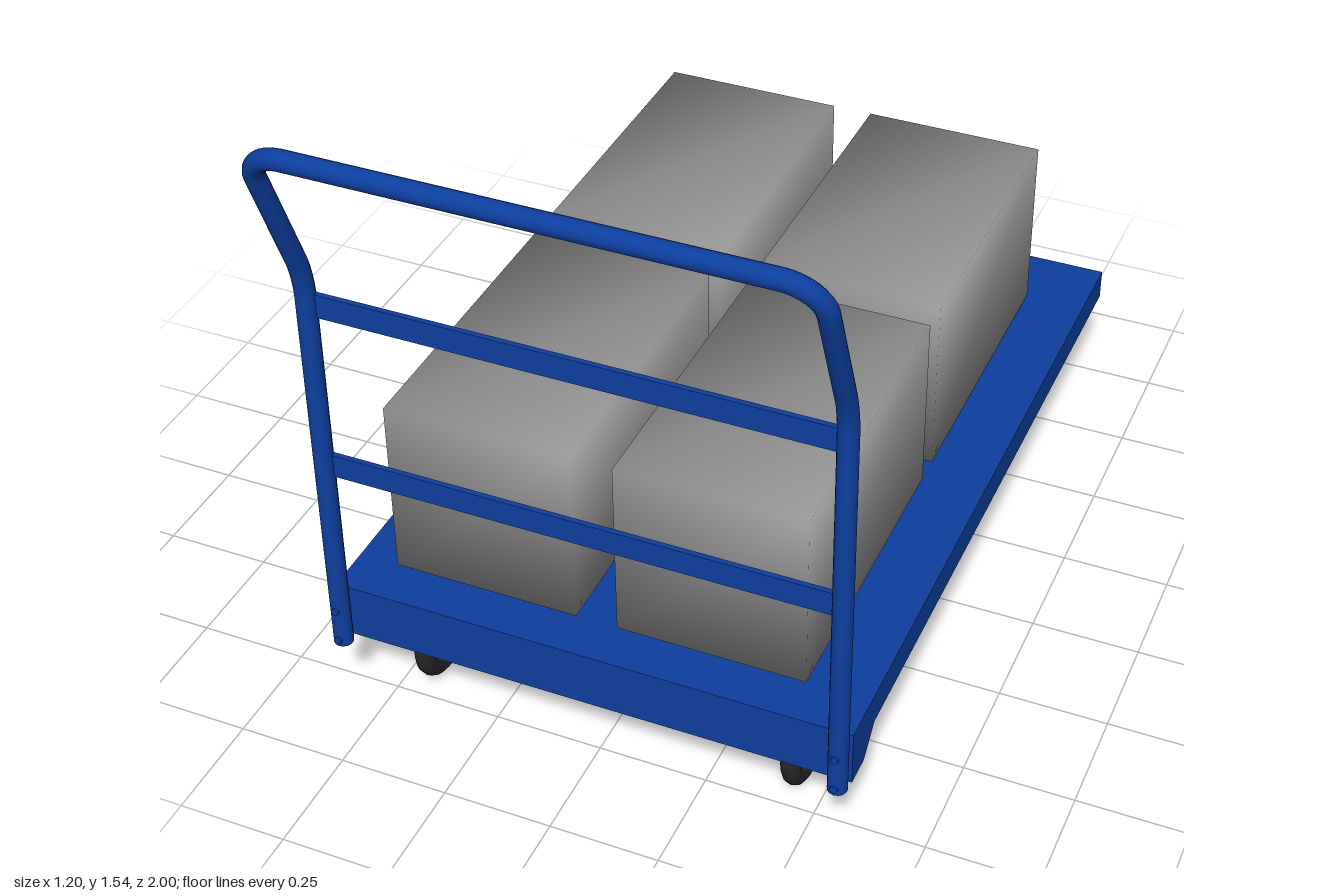
import * as THREE from 'three';
import { mergeVertices } from 'three/addons/utils/BufferGeometryUtils.js';

const V = (x, y, z) => new THREE.Vector3(x, y, z);

export function createModel() {
  const mat = (name, color, side = THREE.FrontSide) => {
    const m = new THREE.MeshStandardMaterial({ color, side });
    m.name = name;
    return m;
  };
  const blue = mat('blue paint', 0x0d3f9f);
  const cargoGrey = mat('cargo grey', 0x999999);
  const steel = mat('caster steel', 0x5a5a5a);
  const rubber = mat('tyre rubber', 0x262626);

  const root = new THREE.Group();
  root.name = 'platformTrolley';
  const add = (parent, name, geo, material, x = 0, y = 0, z = 0) => {
    const m = new THREE.Mesh(geo, material);
    m.name = name;
    m.position.set(x, y, z);
    parent.add(m);
    return m;
  };
  const box = (w, h, d) => new THREE.BoxGeometry(w, h, d);
  const rod = (r, length, sides = 24) => new THREE.CylinderGeometry(r, r, length, sides).rotateZ(Math.PI / 2);

  // Deck: thin sheet with a folded rim, open underneath
  const deck = new THREE.Group();
  deck.name = 'deck';
  root.add(deck);
  add(deck, 'deckSheet', box(1.2, 0.012, 1.8), blue, 0, 0.304, -0.1);
  add(deck, 'backRim', box(1.176, 0.063, 0.012), blue, 0, 0.2665, -0.994);
  add(deck, 'frontPlate', box(1.176, 0.121, 0.012), blue, 0, 0.2375, 0.794);

  // Side rims drop into a gusset at the handle end
  const rim = new THREE.Shape([[-1, 0.298], [-1, 0.235], [0.67, 0.235], [0.73, 0.177], [0.8, 0.177], [0.8, 0.298]]
    .map(([z, y]) => new THREE.Vector2(-z, y)));
  const rimGeo = new THREE.ExtrudeGeometry(rim, { depth: 0.012, bevelEnabled: false })
    .translate(0, 0, -0.006).rotateY(Math.PI / 2);
  for (const s of [-1, 1]) add(deck, 'sideRim', rimGeo, blue, s * 0.594, 0, 0);

  // Handle: one bent tube with a raked, rounded top
  const handle = new THREE.Group();
  handle.name = 'handle';
  root.add(handle);
  const px = 0.578, pz = 0.826, r = 0.022;
  const bend = V(px, 1.15, pz), top = V(px, 1.522, 0.977);
  const rake = top.clone().sub(bend).normalize();
  const half = [
    V(px, 0.177, pz),
    V(px, 1.1, pz),
    bend.clone().addScaledVector(rake, 0.05),
    top.clone().addScaledVector(rake, -0.08),
    V(px - 0.08, top.y, top.z),
  ];
  const flip = (p) => V(-p.x, p.y, p.z);
  const round = (a, corner, b) => new THREE.CubicBezierCurve3(
    a, a.clone().lerp(corner, 0.552), b.clone().lerp(corner, 0.552), b);
  const [a, b, c, d, e] = half;
  const [fa, fb, fc, fd, fe] = half.map(flip);
  const path = new THREE.CurvePath();
  path.curves.push(
    new THREE.LineCurve3(a, b), round(b, bend, c), new THREE.LineCurve3(c, d), round(d, top, e),
    new THREE.LineCurve3(e, fe), round(fe, flip(top), fd), new THREE.LineCurve3(fd, fc),
    round(fc, flip(bend), fb), new THREE.LineCurve3(fb, fa));
  add(handle, 'handleTube', new THREE.TubeGeometry(path, 260, r, 14, false), blue);

  // Flat cross bars
  for (const y of [0.67, 1.077]) add(handle, 'crossBar', box(1.14, 0.056, 0.012), blue, 0, y, 0.82);

  // Tube end caps and bolts
  for (const s of [-1, 1]) {
    add(handle, 'tubeCap', new THREE.CircleGeometry(r, 14).rotateX(Math.PI / 2), blue, s * px, 0.177, pz);
    for (const y of [0.195, 0.277]) {
      add(handle, 'bolt', new THREE.CylinderGeometry(0.009, 0.009, 0.05, 10).rotateX(Math.PI / 2), blue, s * px, y, 0.827);
    }
  }

  // Cargo boxes with normals shared around the corners
  const cargo = new THREE.Group();
  cargo.name = 'cargo';
  root.add(cargo);
  let cargoGeo = box(0.432, 0.43, 0.725);
  cargoGeo.deleteAttribute('normal');
  cargoGeo.deleteAttribute('uv');
  cargoGeo = mergeVertices(cargoGeo);
  cargoGeo.computeVertexNormals();
  for (const x of [-0.286, 0.242]) {
    for (const z of [-0.453, 0.338]) add(cargo, 'cargoBox', cargoGeo, cargoGrey, x, 0.534, z);
  }

  // Casters: mounting plate, swivel, fork, wheel
  const tyreGeo = new THREE.LatheGeometry([
    [0.066, -0.018], [0.08, -0.022], [0.092, -0.02], [0.101, -0.013], [0.105, 0],
    [0.101, 0.013], [0.092, 0.02], [0.08, 0.022], [0.066, 0.018],
  ].map(([x, y]) => new THREE.Vector2(x, y)), 36).rotateZ(Math.PI / 2);
  // Fork cheek tapers down to a rounded end at the axle
  const cheek = new THREE.Shape();
  cheek.moveTo(-0.04, 0.25);
  cheek.lineTo(-0.04, 0.17);
  cheek.lineTo(-0.03, 0.1);
  cheek.absarc(0, 0.1, 0.03, Math.PI, Math.PI * 2, false);
  cheek.lineTo(0.04, 0.17);
  cheek.lineTo(0.04, 0.25);
  const cheekGeo = new THREE.ExtrudeGeometry(cheek, { depth: 0.007, bevelEnabled: false, curveSegments: 10 })
    .translate(0, 0, -0.0035).rotateY(Math.PI / 2);

  for (const x of [-0.437, 0.437]) {
    for (const z of [-0.83, 0.646]) {
      const caster = new THREE.Group();
      caster.name = 'caster';
      caster.position.set(x, 0, z);
      root.add(caster);
      add(caster, 'mountingPlate', box(0.18, 0.012, 0.18), steel, 0, 0.292, 0);
      add(caster, 'swivel', new THREE.CylinderGeometry(0.05, 0.042, 0.034, 24), steel, 0, 0.27, 0);
      add(caster, 'forkCrown', box(0.078, 0.012, 0.08), steel, 0, 0.25, 0);
      for (const s of [-1, 1]) add(caster, 'forkCheek', cheekGeo, steel, s * 0.0355, 0, 0);
      add(caster, 'axle', rod(0.013, 0.104, 12), steel, 0, 0.105, 0);
      add(caster, 'tyre', tyreGeo, rubber, 0, 0.105, 0);
      add(caster, 'wheelDisc', rod(0.068, 0.03, 32), steel, 0, 0.105, 0);
      add(caster, 'hub', rod(0.032, 0.058), steel, 0, 0.105, 0);
      for (const s of [-1, 1]) {
        add(caster, 'discRing', new THREE.TorusGeometry(0.054, 0.005, 8, 32).rotateY(Math.PI / 2), steel, s * 0.015, 0.105, 0);
      }
    }
  }
  return root;
}
